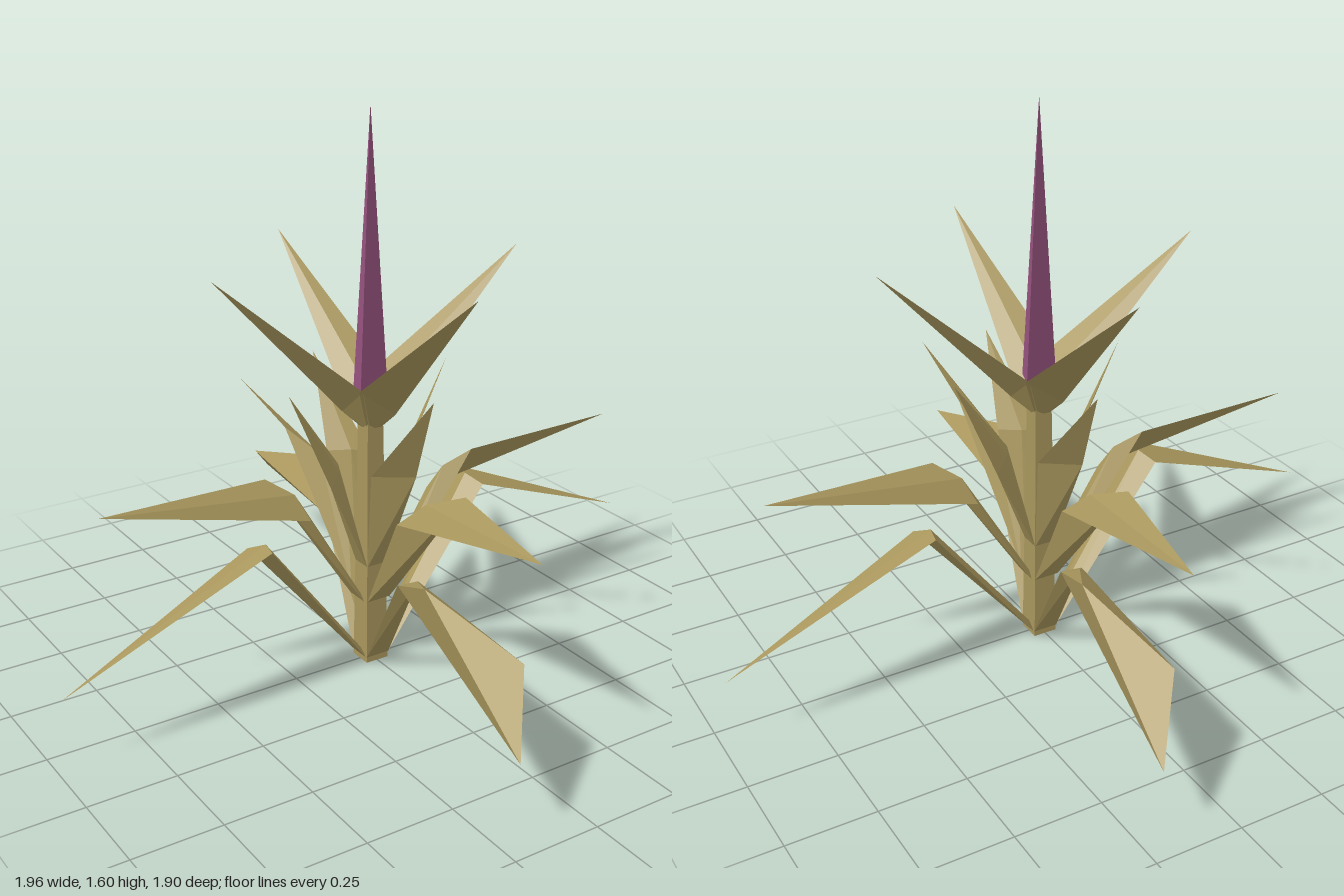
import * as THREE from 'three';
import { ConvexGeometry } from 'three/addons/geometries/ConvexGeometry.js';

export function createModel() {
  const model = new THREE.Group();
  const olive = new THREE.MeshStandardMaterial({ color: 0xa8965c });
  olive.name = 'olive leaf';
  const purple = new THREE.MeshStandardMaterial({ color: 0x9a5480 });
  purple.name = 'purple petal';
  olive.flatShading = purple.flatShading = true;

  const V = (p) => new THREE.Vector3(...p);
  const hull = (points) => new ConvexGeometry(points.map(V));

  // ridge point between the two edges of a leaf, set in towards the stem
  const ridge = (a, b, d) => {
    const m = a.map((v, i) => (v + b[i]) / 2);
    const r = Math.hypot(m[0], m[2]) || 1;
    return [m[0] - (m[0] / r) * d, m[1] + d * 0.6, m[2] - (m[2] / r) * d];
  };

  // each leaf has a twin half a turn around the stem
  function addPair(name, hulls) {
    for (let k = 0; k < 2; k++) {
      const leaf = new THREE.Group();
      leaf.name = name;
      hulls.forEach((pts, i) => {
        const mesh = new THREE.Mesh(hull(pts), olive);
        mesh.name = name + (i === 0 ? 'Stalk' : 'Blade');
        leaf.add(mesh);
      });
      leaf.rotation.y = k * Math.PI;
      model.add(leaf);
    }
  }

  // stalk from two base points to two bend points, then a blade to the tip
  function bentLeaf(name, base, bend, tip, d = 0.02) {
    const lower = [...base, ridge(base[0], base[1], 0.012)];
    const upper = [...bend, ridge(bend[0], bend[1], d)];
    addPair(name, [[...lower, ...upper], [...upper, tip]]);
  }

  // low drooping side leaves
  bentLeaf('lowSideLeaf',
    [[0.04, 0.02, -0.035], [0.04, 0.02, 0.035]],
    [[0.38, 0.47, -0.11], [0.395, 0.445, 0]],
    [0.98, 0.21, -0.085]);

  // low drooping front and back leaves with a broad folded blade
  const fold = [[-0.01, 0.345, 0.25], [-0.07, 0.345, 0.24], [-0.04, 0.37, 0.29]];
  addPair('lowFrontLeaf', [
    [[-0.04, 0.02, 0.04], [0.035, 0.02, 0.04], [0, 0.03, 0.025], ...fold],
    [...fold, [-0.13, 0.44, 0.45], [-0.065, 0.36, 0.78], [-0.205, 0.22, 0.95]],
  ]);

  // level middle leaves
  bentLeaf('middleSideLeaf',
    [[0.045, 0.2, -0.035], [0.045, 0.2, 0.035]],
    [[0.3, 0.6, 0.065], [0.2, 0.48, -0.01]],
    [0.79, 0.605, 0.065]);
  bentLeaf('middleFrontLeaf',
    [[-0.04, 0.2, 0.045], [0.035, 0.2, 0.045]],
    [[0.07, 0.61, 0.35], [-0.02, 0.48, 0.16]],
    [-0.02, 0.615, 0.78]);

  // steep upper leaves
  bentLeaf('upperSideLeaf',
    [[0.03, 0.3, -0.03], [0.03, 0.3, 0.03]],
    [[0.075, 0.6, 0.05], [0.16, 0.58, -0.05]],
    [0.27, 0.86, -0.02], 0.015);
  bentLeaf('upperFrontLeaf',
    [[-0.03, 0.3, 0.03], [0.03, 0.3, 0.03]],
    [[0.05, 0.6, 0.15], [-0.05, 0.6, 0.08]],
    [0.02, 0.86, 0.27], 0.015);

  // top leaves cupping the flower
  bentLeaf('topSideLeaf',
    [[0.01, 0.7, -0.015], [0.01, 0.7, 0.015]],
    [[0.075, 0.85, -0.08], [0.07, 0.76, 0.035]],
    [0.445, 1.18, 0.06], 0.015);
  bentLeaf('topFrontLeaf',
    [[-0.015, 0.7, 0.01], [0.015, 0.7, 0.01]],
    [[-0.085, 0.85, 0.075], [0.035, 0.76, 0.07]],
    [0.025, 1.18, 0.445], 0.015);

  // square stem
  const stemGeo = new THREE.CylinderGeometry(0.035, 0.05, 0.76, 4);
  stemGeo.rotateY(Math.PI / 4);
  const stem = new THREE.Mesh(stemGeo, olive);
  stem.name = 'stem';
  stem.position.y = 0.38;
  model.add(stem);

  // flat pointed flower, set diagonally
  const flower = new THREE.Mesh(hull([
    [0, 1.6, 0], [0, 0.72, 0],
    [0.08, 0.85, -0.075], [-0.08, 0.85, 0.075],
    [0.033, 0.82, 0.035], [-0.033, 0.82, -0.035],
  ]), purple);
  flower.name = 'flower';
  model.add(flower);

  return model;
}
